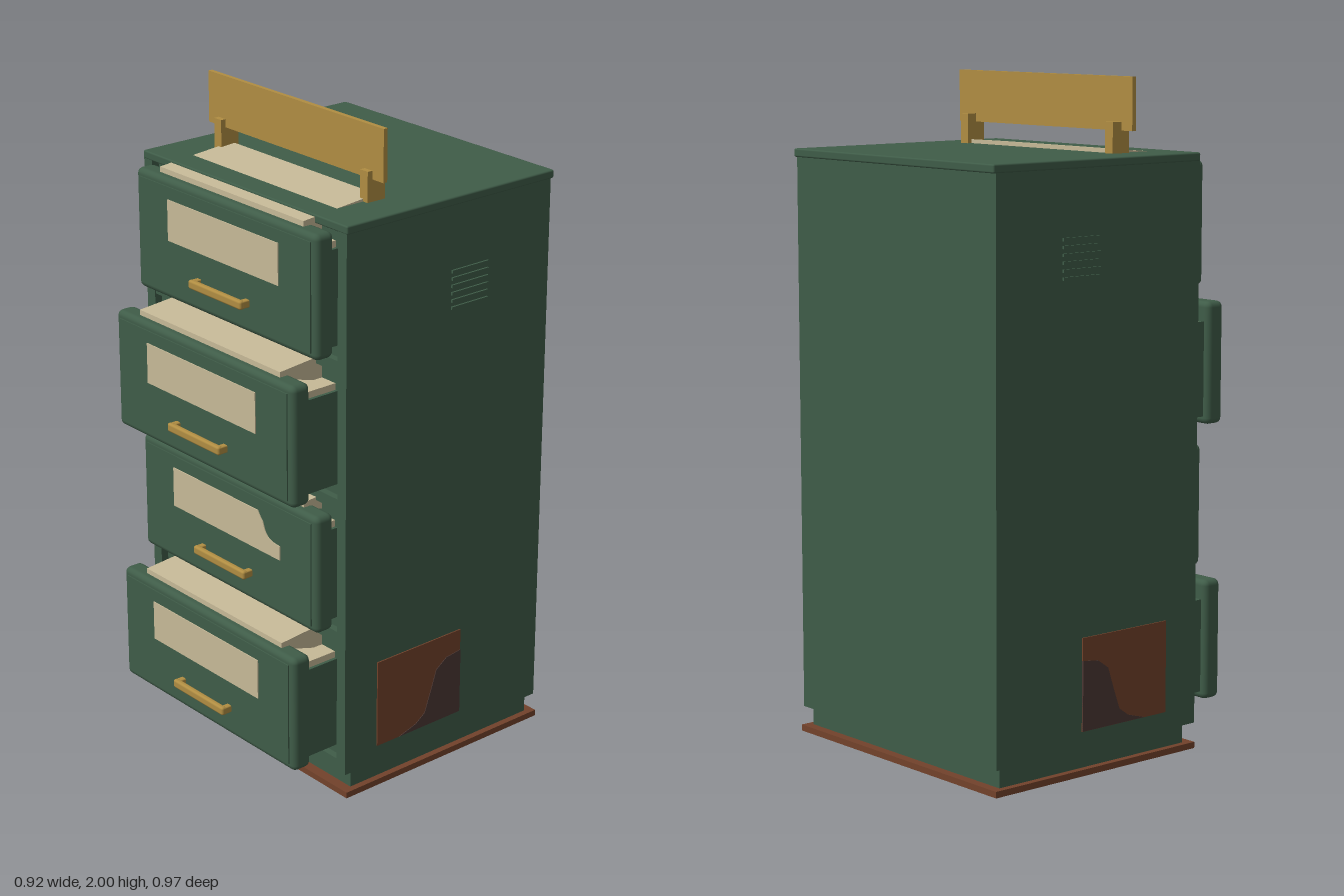
import * as THREE from 'three';
import { RoundedBoxGeometry } from 'three/addons/geometries/RoundedBoxGeometry.js';

const mat = (name, color) => Object.assign(new THREE.MeshStandardMaterial({ color }), { name });

export function createModel() {
  const green = mat('green enamel', 0x3f5c48);
  const cream = mat('cream paper', 0xc6b997);
  const brass = mat('brass', 0xb08d42);
  const rust = mat('rust', 0x72422b);
  const darkRust = mat('dark rust', 0x4c3834);
  const model = new THREE.Group();
  model.name = 'filingCabinet';

  const add = (parent, name, geometry, material) => {
    const mesh = new THREE.Mesh(geometry, material);
    mesh.name = name;
    parent.add(mesh);
    return mesh;
  };
  // Box given by its extents; r rounds its edges
  const box = (parent, name, material, [x0, x1], [y0, y1], [z0, z1], r = 0) => {
    const s = [x1 - x0, y1 - y0, z1 - z0];
    const g = r ? new RoundedBoxGeometry(...s, 2, r) : new THREE.BoxGeometry(...s);
    g.translate((x0 + x1) / 2, (y0 + y1) / 2, (z0 + z1) / 2);
    return add(parent, name, g, material);
  };
  // Side profile of [z, y] points, extruded along x about a centre
  const profile = (points, width, x = 0) => {
    const shape = new THREE.Shape(points.map(p => new THREE.Vector2(...p)));
    const g = new THREE.ExtrudeGeometry(shape, { depth: width, bevelEnabled: false });
    return g.rotateY(-Math.PI / 2).translate(x + width / 2, 0, 0);
  };

  // Carcass, lid, plinth and rusted foot
  box(model, 'carcass', green, [-0.455, 0.455], [0.08, 1.77], [-0.478, 0.27]);
  box(model, 'lid', green, [-0.458, 0.458], [1.755, 1.78], [-0.488, 0.296], 0.005);
  box(model, 'plinth', green, [-0.44, 0.44], [0.02, 0.08], [-0.455, 0.26]);
  box(model, 'rustedFoot', rust, [-0.46, 0.46], [0.003, 0.022], [-0.484, 0.292]);
  box(model, 'footPlate', green, [-0.452, 0.452], [0, 0.005], [-0.476, 0.284]);

  // Front frame
  for (const s of [-1, 1]) {
    const xs = [s * 0.418, s * 0.455].sort((a, b) => a - b);
    box(model, 'frontStile', green, xs, [0.08, 1.77], [0.26, 0.295]);
  }
  for (const [y0, y1] of [[0.08, 0.118], [0.5, 0.536], [0.922, 0.956], [1.342, 1.376]])
    box(model, 'frontRail', green, [-0.42, 0.42], [y0, y1], [0.26, 0.292]);

  // Label plate, optionally with a torn corner
  const labelGeometry = torn => {
    const s = new THREE.Shape();
    s.moveTo(-0.25, -0.0625);
    s.lineTo(0.25, -0.0625);
    if (torn) {
      s.lineTo(0.25, -0.018);
      s.bezierCurveTo(0.18, -0.018, 0.185, 0.01, 0.172, 0.035);
      s.quadraticCurveTo(0.165, 0.04, 0.15, 0.0625);
    } else s.lineTo(0.25, 0.0625);
    s.lineTo(-0.25, 0.0625);
    return new THREE.ExtrudeGeometry(s, { depth: 0.004, bevelEnabled: false });
  };

  // Four drawers, every second one pulled out; z = 0 is the front's face
  for (let i = 0; i < 4; i++) {
    const drawer = new THREE.Group();
    const open = i % 2 === 1;
    drawer.name = 'drawer' + (i + 1);
    drawer.position.set(0, 1.57 - 0.421 * i, open ? 0.448 : 0.362);
    model.add(drawer);
    box(drawer, 'drawerFront', green, [-0.408, 0.408], [-0.184, 0.184], [-0.065, 0], 0.018);
    box(drawer, 'drawerPanel', green, [-0.385, 0.385], [-0.162, 0.162], [-0.01, 0.004]);
    box(drawer, 'drawerBox', green, [-0.39, 0.39], [-0.16, 0.125], [-0.25, -0.05]);
    box(drawer, 'folders', cream, [-0.38, 0.38], [0.12, 0.145], [-0.25, -0.078]);
    const papers = [[-0.29, 0.1], [-0.145, 0.145], [-0.025, 0.18], [-0.025, 0.2], [-0.29, 0.222]];
    add(drawer, 'papers', profile(papers, 0.645), cream);
    add(drawer, 'label', labelGeometry(i === 2), cream).position.set(0, 0.062, 0.003);

    // Pull handle
    box(drawer, 'handleBar', brass, [-0.12, 0.12], [-0.104, -0.077], [0.02, 0.038], 0.007);
    for (const x of [-0.11, 0.11])
      box(drawer, 'handlePost', brass, [x - 0.01, x + 0.01], [-0.102, -0.079], [0, 0.03], 0.004);
  }

  // Brass sign standing on the lid
  box(model, 'sign', brass, [-0.387, 0.387], [1.845, 2], [0.09, 0.104]);
  for (const x of [-0.325, 0.325])
    box(model, 'signPost', brass, [x - 0.016, x + 0.016], [1.775, 1.87], [0.057, 0.121]);

  // Louvres and rust patches on both sides
  const patch = [[0.172, 0.135], [0.172, 0.412], [-0.157, 0.412], [-0.157, 0.135]];
  const stain = [[0.085, 0.136], [0.02, 0.155], [-0.015, 0.18], [-0.04, 0.25], [-0.06, 0.31],
    [-0.1, 0.338], [-0.157, 0.345], [-0.157, 0.136]];
  for (const s of [-1, 1]) {
    for (let i = 0; i < 6; i++) {
      const louvre = add(model, 'louvre', new THREE.BoxGeometry(0.01, 0.009, 0.14), green);
      louvre.position.set(s * 0.456, 1.45 + i * 0.022, -0.165);
    }
    add(model, 'rustPatch', profile(patch, 0.006, s * 0.456), rust);
    add(model, 'rustStain', profile(stain, 0.006, s * 0.458), darkRust);
  }
  return model;
}
